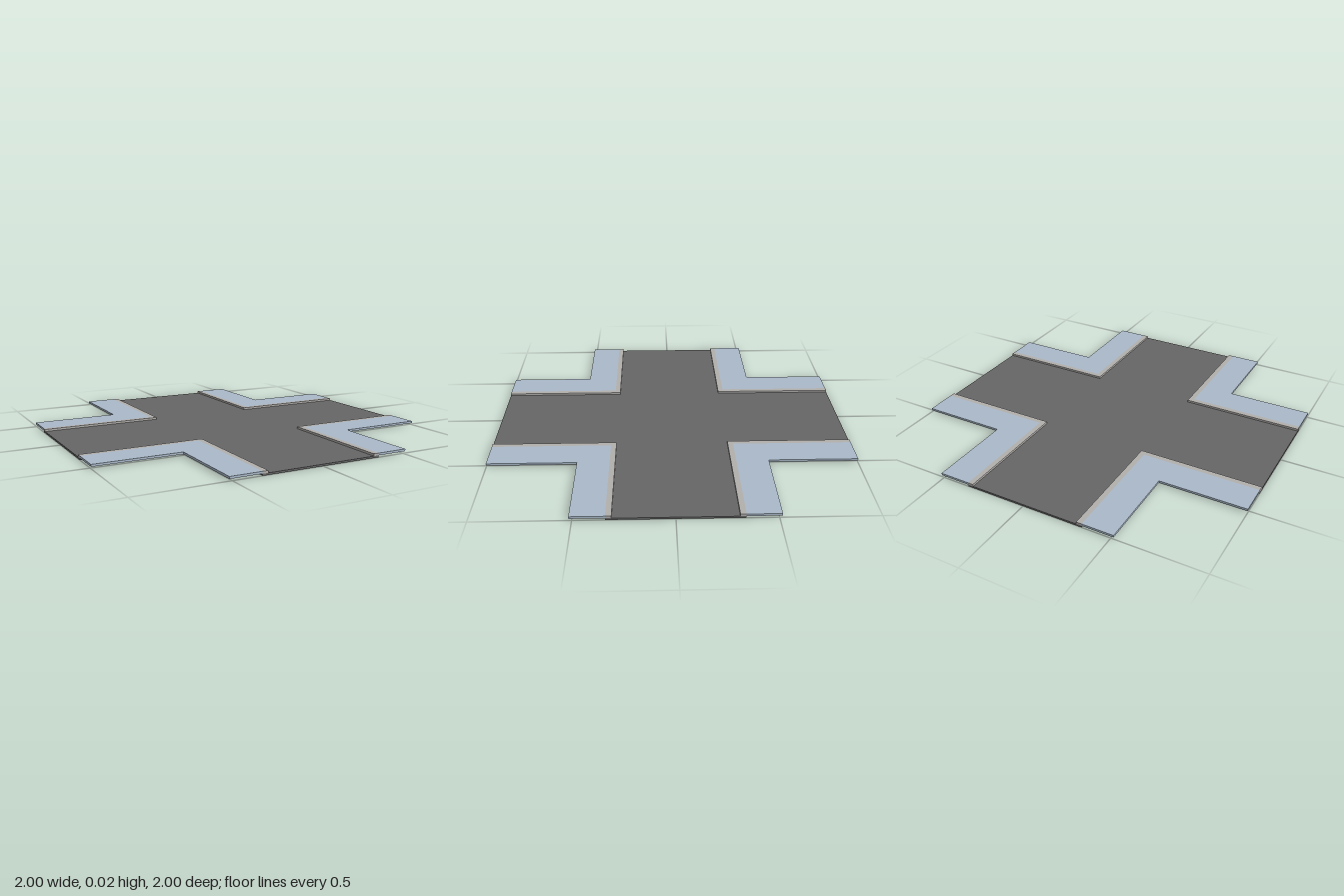
import * as THREE from 'three';

const ROAD = 0.34, CURB = 0.31, WALK = 0.515, END = 1;
const ROAD_TOP = 0.01, TOP = 0.022;

const paint = (color) => new THREE.MeshStandardMaterial({ color, flatShading: true });

// Flat slab from a plan outline, standing between two heights
function slab(name, points, bottom, top, material) {
  const shape = new THREE.Shape(points.map(([x, z]) => new THREE.Vector2(x, z)));
  const geometry = new THREE.ExtrudeGeometry(shape, { depth: top - bottom, bevelEnabled: false });
  geometry.rotateX(-Math.PI / 2);
  geometry.translate(0, bottom, 0);
  const mesh = new THREE.Mesh(geometry, material);
  mesh.name = name;
  return mesh;
}

// L-shaped outline around one corner, between two distances from the road axes
const corner = (a, b) => [[a, a], [END, a], [END, b], [b, b], [b, END], [a, END]];

export function createModel() {
  const model = new THREE.Group();
  model.name = 'crossroads';
  const asphalt = paint(0x666666);
  const stone = paint(0xb3b0ad);
  const paving = paint(0xaab9c9);

  // Cross-shaped road bed, running under the curbs
  const r = ROAD;
  model.add(slab('road', [
    [r, -END], [r, -r], [END, -r], [END, r], [r, r], [r, END],
    [-r, END], [-r, r], [-END, r], [-END, -r], [-r, -r], [-r, -END],
  ], 0, ROAD_TOP, asphalt));

  // Curb and sidewalk repeated at the four corners
  for (let i = 0; i < 4; i++) {
    const group = new THREE.Group();
    group.name = `sidewalkCorner${i + 1}`;
    group.add(
      slab('curb', corner(CURB, ROAD), ROAD_TOP, TOP, stone),
      slab('sidewalk', corner(ROAD, WALK), ROAD_TOP, TOP, paving),
    );
    group.rotation.y = i * Math.PI / 2;
    model.add(group);
  }
  return model;
}
